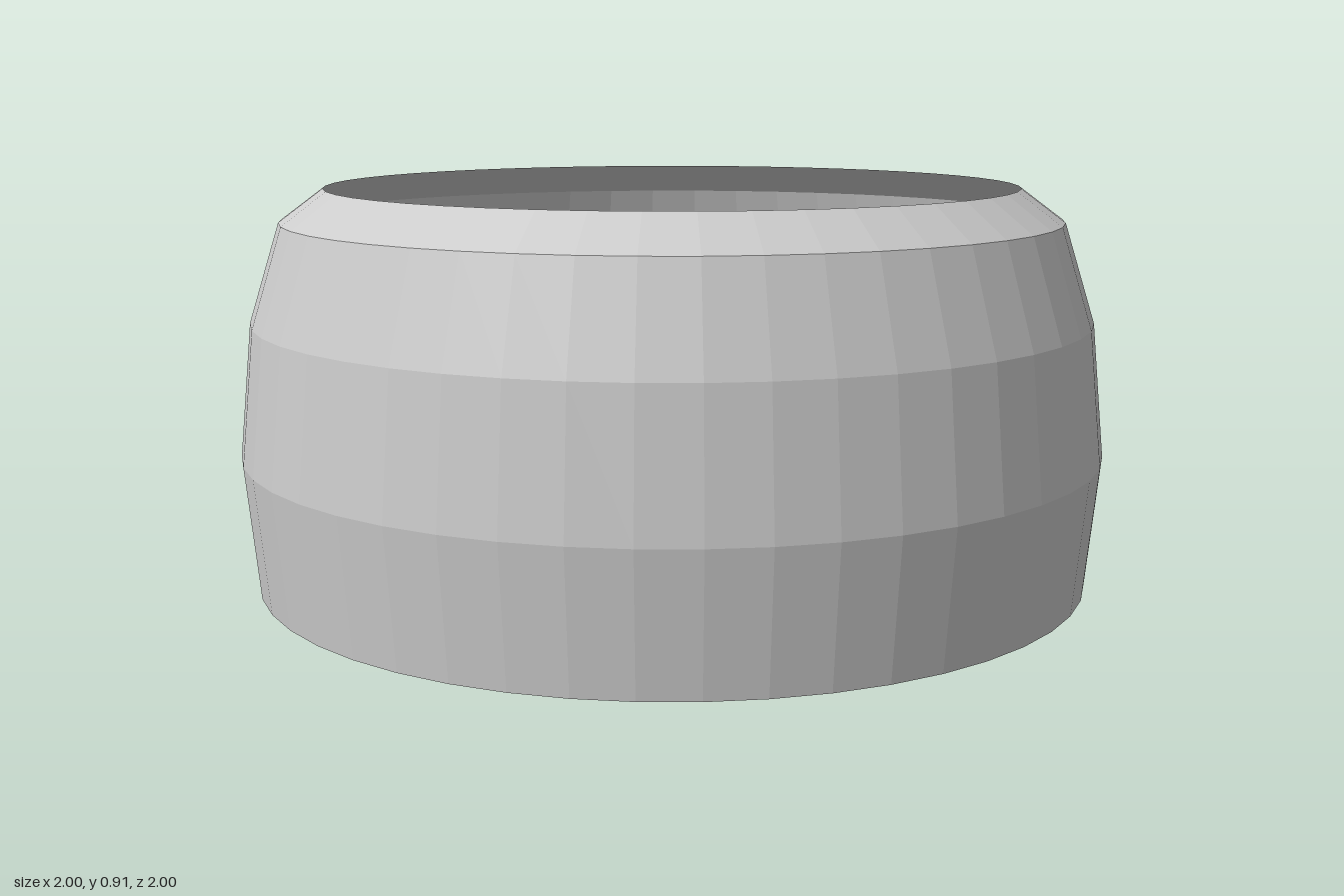
import * as THREE from 'three';

export function createModel() {
  const group = new THREE.Group();
  group.name = 'openRing';

  // Radius and height of each ring, from the bottom rim to the top rim
  const profile = [
    [0.97, 0], [1, 0.305], [0.97, 0.61], [0.9, 0.835], [0.8, 0.91],
  ].map(([r, y]) => new THREE.Vector2(r, y));

  // Thin faceted band, open at the top and bottom
  const band = new THREE.Mesh(
    new THREE.LatheGeometry(profile, 48),
    new THREE.MeshStandardMaterial({
      color: 0xcccccc, flatShading: true, side: THREE.DoubleSide,
    }),
  );
  band.name = 'band';
  group.add(band);
  return group;
}
